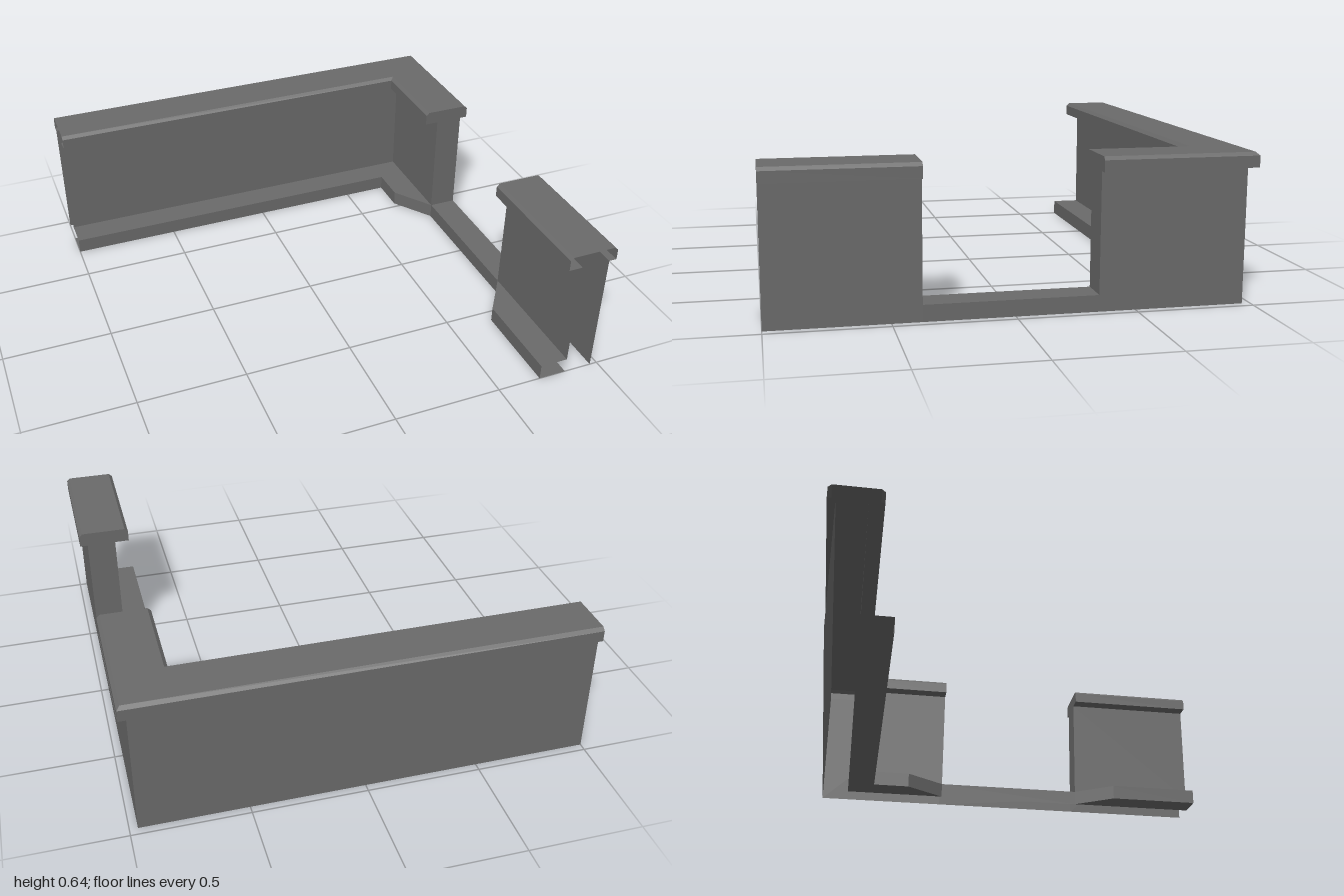
import * as THREE from 'three';

const stone = new THREE.MeshStandardMaterial({ color: 0x6a6a6a, side: THREE.DoubleSide });
stone.name = 'greyStone';

// Cross-section points are [distance out from the centre, height].
const SECTIONS = {
  outerWall: [[0.965, 0], [0.965, 0.577]],
  coping: [[0.965, 0.577], [1, 0.577], [1, 0.626], [0.985, 0.64], [0.785, 0.64], [0.77, 0.626], [0.77, 0.577], [0.835, 0.577]],
  innerWall: [[0.835, 0.577], [0.835, 0.07]],
  ledge: [[0.835, 0.07], [0.705, 0.07], [0.705, 0], [0.835, 0]],
};
const SILL = [[0.965, 0], [0.965, 0.07], [0.835, 0.07], [0.835, 0]];
const JAMB_BACK = -0.345, JAMB_FRONT = 0.377;

// Sweep an open section through stations; each maps the out-distance to [x, z].
function sweep(name, section, stations) {
  const pos = [];
  const at = ([o, y], s) => { const [x, z] = s(o); return [x, y, z]; };
  for (let j = 0; j < stations.length - 1; j++) {
    for (let i = 0; i < section.length - 1; i++) {
      const a = at(section[i], stations[j]), b = at(section[i + 1], stations[j]);
      const c = at(section[i + 1], stations[j + 1]), d = at(section[i], stations[j + 1]);
      pos.push(...a, ...b, ...c, ...a, ...c, ...d);
    }
  }
  const geo = new THREE.BufferGeometry();
  geo.setAttribute('position', new THREE.Float32BufferAttribute(pos, 3));
  geo.computeVertexNormals();
  const mesh = new THREE.Mesh(geo, stone);
  mesh.name = name;
  return mesh;
}

// T-shaped cap closing the wall at the doorway
function jamb(z, facing) {
  const pts = [[0.965, 0.07], ...SECTIONS.coping, [0.835, 0.07]];
  const shape = new THREE.Shape(pts.map(([x, y]) => new THREE.Vector2(x * facing, y)));
  const mesh = new THREE.Mesh(new THREE.ShapeGeometry(shape), stone);
  mesh.name = 'doorJamb';
  mesh.position.z = z;
  if (facing < 0) mesh.rotation.y = Math.PI;
  return mesh;
}

// The ledge tapers into the wall beside the doorway.
const taper = (o, zTip, zJamb) => zTip + (zJamb - zTip) * (o - 0.705) / 0.13;

function wallSection(name, stationsFor) {
  const group = new THREE.Group();
  group.name = name;
  for (const [part, section] of Object.entries(SECTIONS)) {
    group.add(sweep(part, section, stationsFor(part === 'ledge')));
  }
  return group;
}

export function createModel() {
  const model = new THREE.Group();
  model.name = 'cornerWall';

  const backEnd = (o) => [o, taper(o, -0.53, JAMB_BACK)];
  const frontEnd = (o) => [o, taper(o, 0.56, JAMB_FRONT)];

  // Mitred L-shaped wall: along the back, round the corner, up to the doorway
  const corner = wallSection('backWall', (isLedge) => [
    (o) => [-1, -o],
    (o) => [o, -o],
    isLedge ? backEnd : (o) => [o, JAMB_BACK],
  ]);
  corner.add(jamb(JAMB_BACK, 1));

  // Short wall in front of the doorway
  const front = wallSection('frontWall', (isLedge) => [
    isLedge ? frontEnd : (o) => [o, JAMB_FRONT],
    (o) => [o, 1],
  ]);
  front.add(jamb(JAMB_FRONT, -1));

  // Slanted ends of the ledge
  const ends = [[corner, backEnd, 0, 0.07], [front, frontEnd, 0.07, 0]];
  for (const [group, end, y0, y1] of ends) {
    group.add(sweep('ledgeEnd', [[0.705, y0], [0.705, y1]], [end, () => end(0.835)]));
  }

  // Low sill across the doorway
  const sill = sweep('doorSill', SILL, [(o) => [o, JAMB_BACK], (o) => [o, JAMB_FRONT]]);

  model.add(corner, front, sill);
  return model;
}
